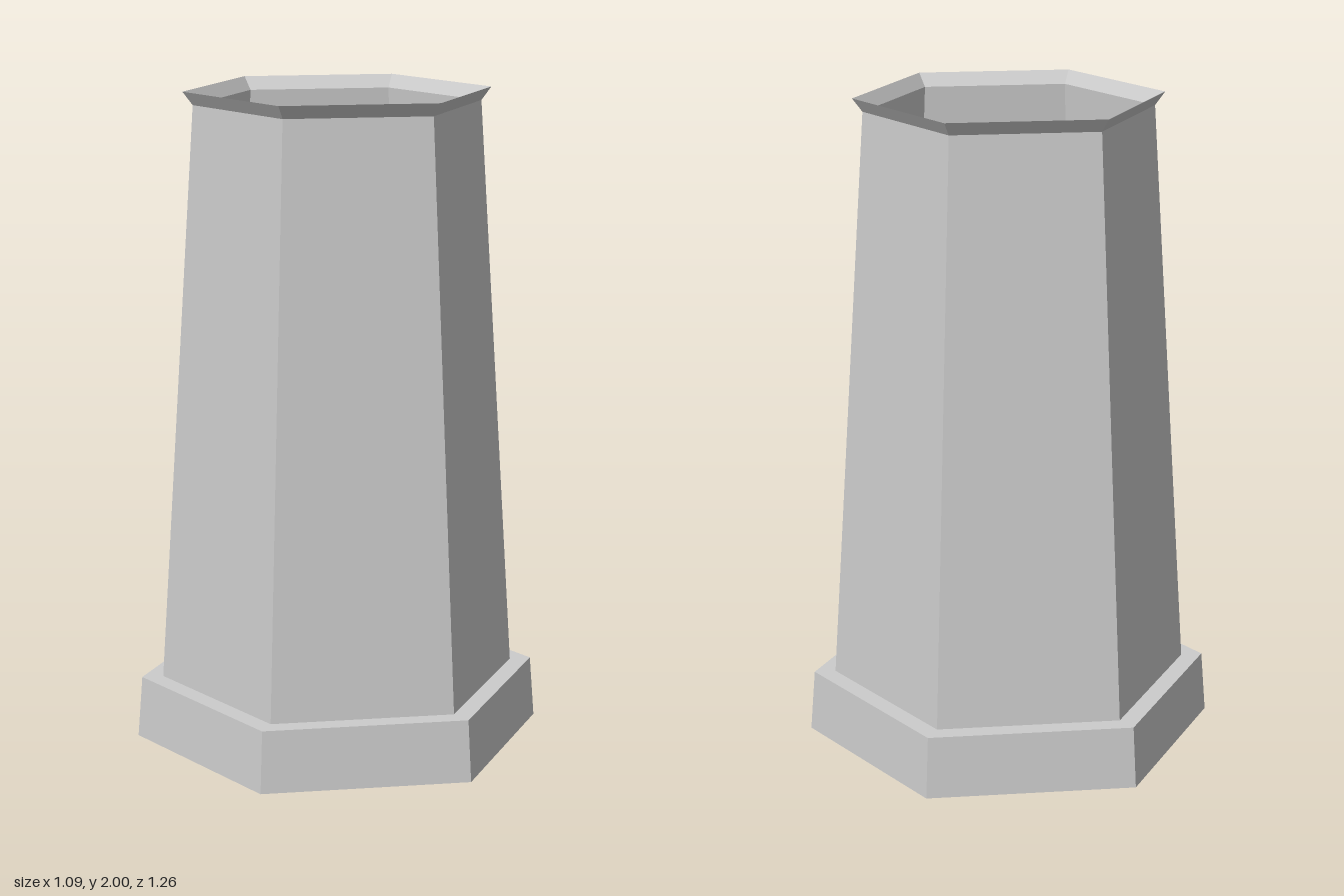
import * as THREE from 'three';

export function createModel() {
  const group = new THREE.Group();
  const stone = new THREE.MeshStandardMaterial({ color: 0xcccccc, flatShading: true, side: THREE.DoubleSide });
  stone.name = 'light grey stone';

  // Open six-sided shell swept from [radius, height] pairs, corners on the z axis
  function addShell(name, profile) {
    const points = profile.map(([r, y]) => new THREE.Vector2(r, y));
    const geometry = new THREE.LatheGeometry(points, 6).toNonIndexed();
    geometry.computeVertexNormals();
    const mesh = new THREE.Mesh(geometry, stone);
    mesh.name = name;
    group.add(mesh);
  }

  // Hollow plinth with its ledge
  addShell('base', [[0.63, 0], [0.615, 0.19], [0.55, 0.19]]);
  // Tapered hollow shaft
  addShell('shaft', [[0.55, 0.19], [0.435, 1.96]]);
  // Flared lip
  addShell('rim', [[0.435, 1.96], [0.465, 2]]);

  // Floor closing the shaft just above the plinth
  const floor = new THREE.Mesh(new THREE.CircleGeometry(0.549, 6, Math.PI / 2), stone);
  floor.name = 'floor';
  floor.rotation.x = -Math.PI / 2;
  floor.position.y = 0.2;
  group.add(floor);

  return group;
}
